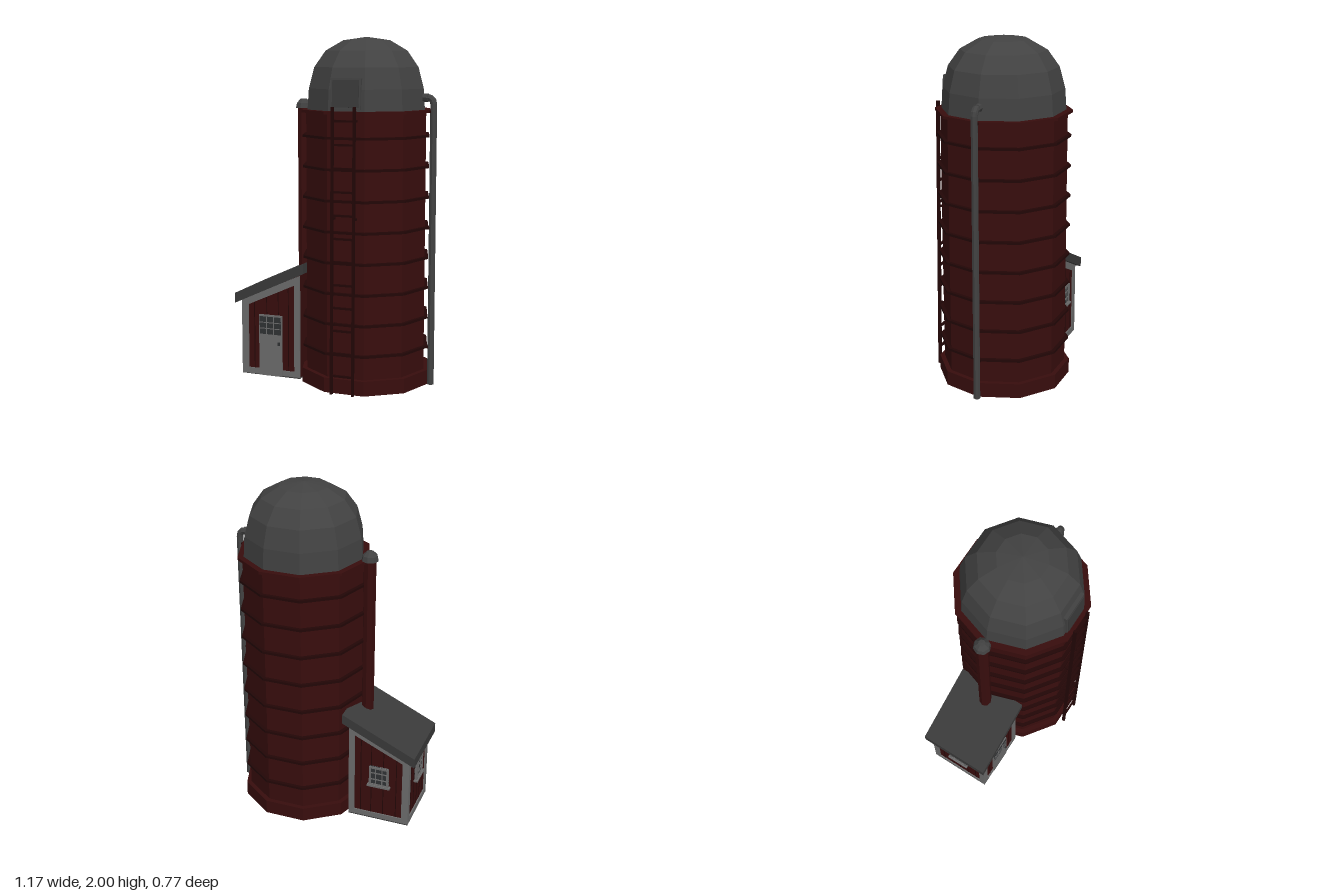
import * as THREE from 'three';

const mat = (name, color) => {
  const m = new THREE.MeshStandardMaterial({ color, flatShading: true });
  m.name = name;
  return m;
};

export function createModel() {
  const red = mat('barn red', 0x380d0d);
  const darkRed = mat('dark red', 0x220606);
  const domeGrey = mat('dome grey', 0x424242);
  const roofGrey = mat('roof grey', 0x3a3a3a);
  const trim = mat('pale trim', 0x6c6c6c);
  const pane = mat('window pane', 0x303234);

  const model = new THREE.Group();
  const CX = 0.165, CZ = -0.018;

  const add = (parent, name, geo, material, x = 0, y = 0, z = 0) => {
    const m = new THREE.Mesh(geo, material);
    m.name = name;
    m.position.set(x, y, z);
    parent.add(m);
    return m;
  };
  const box = (parent, name, w, h, d, material, x, y, z) =>
    add(parent, name, new THREE.BoxGeometry(w, h, d), material, x, y, z);
  const group = (name, parent = model) => {
    const g = new THREE.Group();
    g.name = name;
    parent.add(g);
    return g;
  };
  // Ten-sided drum with corners on the x axis
  const drum = (r, h) => new THREE.CylinderGeometry(r, r, h, 10, 1, false, Math.PI / 2);

  // Silo: wall, footing and hoops
  const silo = group('silo');
  silo.position.set(CX, 0, CZ);
  add(silo, 'wall', drum(0.357, 1.59), red, 0, 0.795, 0);
  add(silo, 'footing', drum(0.385, 0.085), red, 0, 0.0425, 0);
  for (let i = 0; i < 8; i++) add(silo, 'hoop', drum(0.378, 0.014), darkRed, 0, 0.222 + i * 0.1745, 0);
  add(silo, 'topHoop', drum(0.385, 0.016), red, 0, 1.583, 0);

  // Faceted dome
  const profile = [[0.349, 1.59], [0.341, 1.71], [0.309, 1.83], [0.243, 1.922], [0.14, 1.98], [0, 2]]
    .map(([r, y]) => new THREE.Vector2(r, y));
  add(silo, 'dome', new THREE.LatheGeometry(profile, 10, Math.PI / 2), domeGrey);

  // Dome hatch
  const hatch = group('hatch');
  hatch.position.set(0.163, 1.685, 0.288);
  hatch.rotation.x = -0.07;
  box(hatch, 'hatchBox', 0.175, 0.17, 0.06, domeGrey, 0, 0, 0);
  box(hatch, 'hatchDoor', 0.155, 0.15, 0.008, roofGrey, 0, 0, 0.031);

  // Ladder leaning on the front
  const ladder = group('ladder');
  ladder.position.set(0.165, 0, 0.377);
  ladder.rotation.x = -0.012;
  for (const s of [-1, 1]) box(ladder, 'ladderRail', 0.013, 1.615, 0.018, darkRed, s * 0.064, 0.81, 0);
  for (let i = 0; i < 12; i++) box(ladder, 'rung', 0.128, 0.012, 0.012, darkRed, 0, 0.11 + i * 0.13, 0);
  for (const y of [0.4, 1.0, 1.54])
    for (const s of [-1, 1]) box(ladder, 'bracket', 0.01, 0.012, 0.05, darkRed, s * 0.064, y, -0.025);

  // Fill pipe with its elbow into the dome
  const path = new THREE.CurvePath();
  const v = (x, y) => new THREE.Vector3(x, y, CZ);
  path.add(new THREE.LineCurve3(v(0.565, 0), v(0.565, 1.62)));
  path.add(new THREE.QuadraticBezierCurve3(v(0.565, 1.62), v(0.565, 1.66), v(0.53, 1.66)));
  path.add(new THREE.LineCurve3(v(0.53, 1.66), v(0.47, 1.66)));
  add(model, 'fillPipe', new THREE.TubeGeometry(path, 90, 0.02, 8), domeGrey);
  add(model, 'pipeCollar', new THREE.CylinderGeometry(0.024, 0.024, 0.03, 8), domeGrey, 0.52, 1.66, CZ)
    .rotation.z = Math.PI / 2;
  for (const y of [0.222, 0.92, 1.583]) box(model, 'pipeStrap', 0.05, 0.014, 0.03, darkRed, 0.535, y, CZ);

  // Chute with a rounded cap
  add(model, 'chute', new THREE.CylinderGeometry(0.037, 0.037, 1.3, 8), red, -0.228, 0.945, CZ);
  const cap = [[0, 1.588], [0.05, 1.59], [0.043, 1.62], [0.02, 1.643], [0, 1.645]]
    .map(([r, y]) => new THREE.Vector2(r, y));
  add(model, 'chuteCap', new THREE.LatheGeometry(cap, 8), domeGrey, -0.228, 0, CZ);

  // Shed
  const shed = group('shed');
  const L = -0.555, R = -0.18, Z0 = -0.21, Z1 = 0.172, ZM = (Z0 + Z1) / 2;
  const top = x => 0.45 + (x - L) * 0.455;
  const outline = (x0, x1, y0, drop, Kind = THREE.Shape) => new Kind([
    [x0, y0], [x1, y0], [x1, top(x1) - drop], [x0, top(x0) - drop],
  ].map(p => new THREE.Vector2(...p)));
  const extrude = (shape, depth) => new THREE.ExtrudeGeometry(shape, { depth, bevelEnabled: false });

  add(shed, 'shedWalls', extrude(outline(L + 0.008, R - 0.002, 0.006, 0), Z1 - Z0 - 0.016), red, 0, 0, Z0 + 0.008);
  box(shed, 'shedFloor', R - L, 0.006, Z1 - Z0, roofGrey, (L + R) / 2, 0.003, ZM);

  // Trim frames on the front, back and outer walls
  const gable = outline(L, R, 0, 0);
  gable.holes.push(outline(L + 0.042, R - 0.036, 0.038, 0.045, THREE.Path));
  for (const z of [Z0, Z1 - 0.012]) add(shed, 'gableTrim', extrude(gable, 0.012), trim, 0, 0, z);
  for (const z of [Z0 + 0.018, Z1 - 0.018]) box(shed, 'cornerPost', 0.012, 0.45, 0.036, trim, L + 0.006, 0.225, z);
  for (const y of [0.019, 0.425]) box(shed, 'sideTrim', 0.012, 0.038, Z1 - Z0, trim, L + 0.006, y, ZM);

  // Board seams
  for (const x of [-0.475, -0.395, -0.32, -0.255]) {
    const h = top(x) - 0.085;
    for (const z of [Z0 + 0.008, Z1 - 0.008]) box(shed, 'boardSeam', 0.005, h, 0.004, darkRed, x, 0.038 + h / 2, z);
  }
  for (let i = -2; i <= 2; i++) box(shed, 'boardSeam', 0.004, 0.37, 0.005, darkRed, L + 0.008, 0.223, ZM + i * 0.06);

  // Sloping roof slab
  const roof = new THREE.Shape([[-0.59, 0.432], [-0.147, 0.638], [-0.147, 0.697], [-0.59, 0.492]]
    .map(p => new THREE.Vector2(...p)));
  add(shed, 'shedRoof', extrude(roof, 0.43), roofGrey, 0, 0, -0.235);

  // Windows with glazing bars, built facing +z
  const makeWindow = (name, w, h, x, y, z, turn) => {
    const g = group(name, shed);
    g.position.set(x, y, z);
    g.rotation.y = turn;
    box(g, 'pane', w, h, 0.008, pane, 0, 0, 0.004);
    for (const s of [-1, 1]) {
      box(g, 'frameSide', 0.012, h, 0.016, trim, s * (w / 2 - 0.006), 0, 0.007);
      box(g, 'frameRail', w, 0.012, 0.016, trim, 0, s * (h / 2 - 0.006), 0.007);
      box(g, 'barUpright', 0.006, h, 0.012, trim, s * w / 6, 0, 0.006);
      box(g, 'barAcross', w, 0.006, 0.012, trim, 0, s * h / 6, 0.006);
    }
    box(g, 'sill', w + 0.02, 0.012, 0.024, trim, 0, -h / 2, 0.01);
  };
  makeWindow('sideWindow', 0.12, 0.13, L + 0.004, 0.305, ZM, -Math.PI / 2);
  makeWindow('backWindow', 0.12, 0.13, -0.37, 0.305, Z0 + 0.006, Math.PI);

  // Door with a glazed upper panel and a handle
  box(shed, 'door', 0.148, 0.37, 0.014, trim, -0.368, 0.185, Z1 - 0.004);
  box(shed, 'doorPane', 0.136, 0.106, 0.006, pane, -0.368, 0.307, Z1 + 0.003);
  for (const s of [-1, 1]) {
    box(shed, 'doorBar', 0.005, 0.106, 0.006, trim, -0.368 + s * 0.023, 0.307, Z1 + 0.005);
    box(shed, 'doorBar', 0.136, 0.005, 0.006, trim, -0.368, 0.307 + s * 0.018, Z1 + 0.005);
  }
  box(shed, 'doorHandle', 0.01, 0.02, 0.012, pane, -0.312, 0.2, Z1 + 0.007);

  return model;
}
